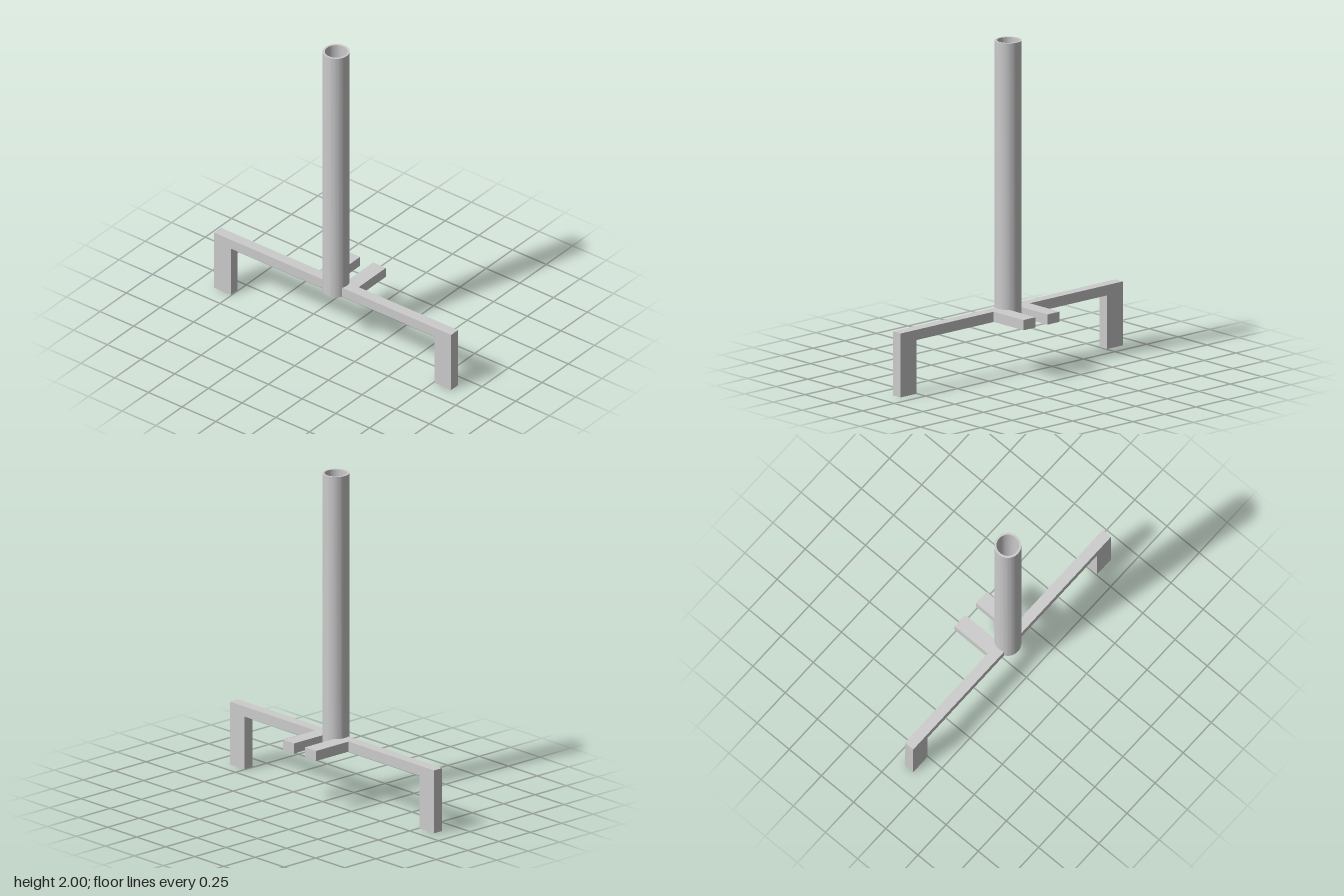
import * as THREE from 'three';
import { toCreasedNormals } from 'three/addons/utils/BufferGeometryUtils.js';

const material = new THREE.MeshStandardMaterial({ color: 0xcccccc });
const TUBE_X = -0.106, OUTER = 0.079, INNER = 0.066;
const BAR_BOTTOM = 0.325, BAR_TOP = 0.387;
const BAR_LEFT = -0.14, BAR_RIGHT = -0.075;
const END_Z = 0.88, LEG_Z = 0.755;

// Extrudes a plan outline (x, z) between two heights
function extrudePlan(name, shape, bottom, top) {
  const geometry = new THREE.ExtrudeGeometry(shape, {
    depth: top - bottom, bevelEnabled: false, curveSegments: 32,
  });
  geometry.rotateX(Math.PI / 2).translate(0, top, 0);
  const mesh = new THREE.Mesh(toCreasedNormals(geometry, 0.6), material);
  mesh.name = name;
  return mesh;
}

// Hollow upright tube
function createTube() {
  const ring = new THREE.Shape().absarc(TUBE_X, 0, OUTER, 0, Math.PI * 2);
  ring.holes.push(new THREE.Path().absarc(TUBE_X, 0, INNER, 0, Math.PI * 2, true));
  return extrudePlan('tube', ring, BAR_BOTTOM, 2);
}

// Side arm with its prong, cut to the tube wall so the bore stays clear
function createArm(side) {
  const r = (OUTER + INNER) / 2, inZ = 0.048, outZ = 0.143, tipX = 0.183;
  const start = Math.acos((BAR_LEFT - TUBE_X) / r);
  const end = Math.asin(inZ / r);
  const plan = new THREE.Shape();
  plan.absarc(TUBE_X, 0, r, side * start, side * end, side > 0);
  plan.lineTo(tipX, side * inZ);
  plan.lineTo(tipX, side * outZ);
  plan.lineTo(BAR_RIGHT, side * outZ);
  plan.lineTo(BAR_RIGHT, side * END_Z);
  plan.lineTo(BAR_LEFT, side * END_Z);
  plan.closePath();
  return extrudePlan(side > 0 ? 'frontArm' : 'backArm', plan, BAR_BOTTOM, BAR_TOP);
}

// Foot post under the end of an arm
function createLeg(side) {
  const leg = new THREE.Mesh(
    new THREE.BoxGeometry(BAR_RIGHT - BAR_LEFT, BAR_BOTTOM, END_Z - LEG_Z), material);
  leg.position.set((BAR_LEFT + BAR_RIGHT) / 2, BAR_BOTTOM / 2, side * (END_Z + LEG_Z) / 2);
  leg.name = side > 0 ? 'frontLeg' : 'backLeg';
  return leg;
}

export function createModel() {
  const model = new THREE.Group();
  model.name = 'tubeStand';
  model.add(createTube());
  for (const side of [1, -1]) model.add(createArm(side), createLeg(side));
  return model;
}
